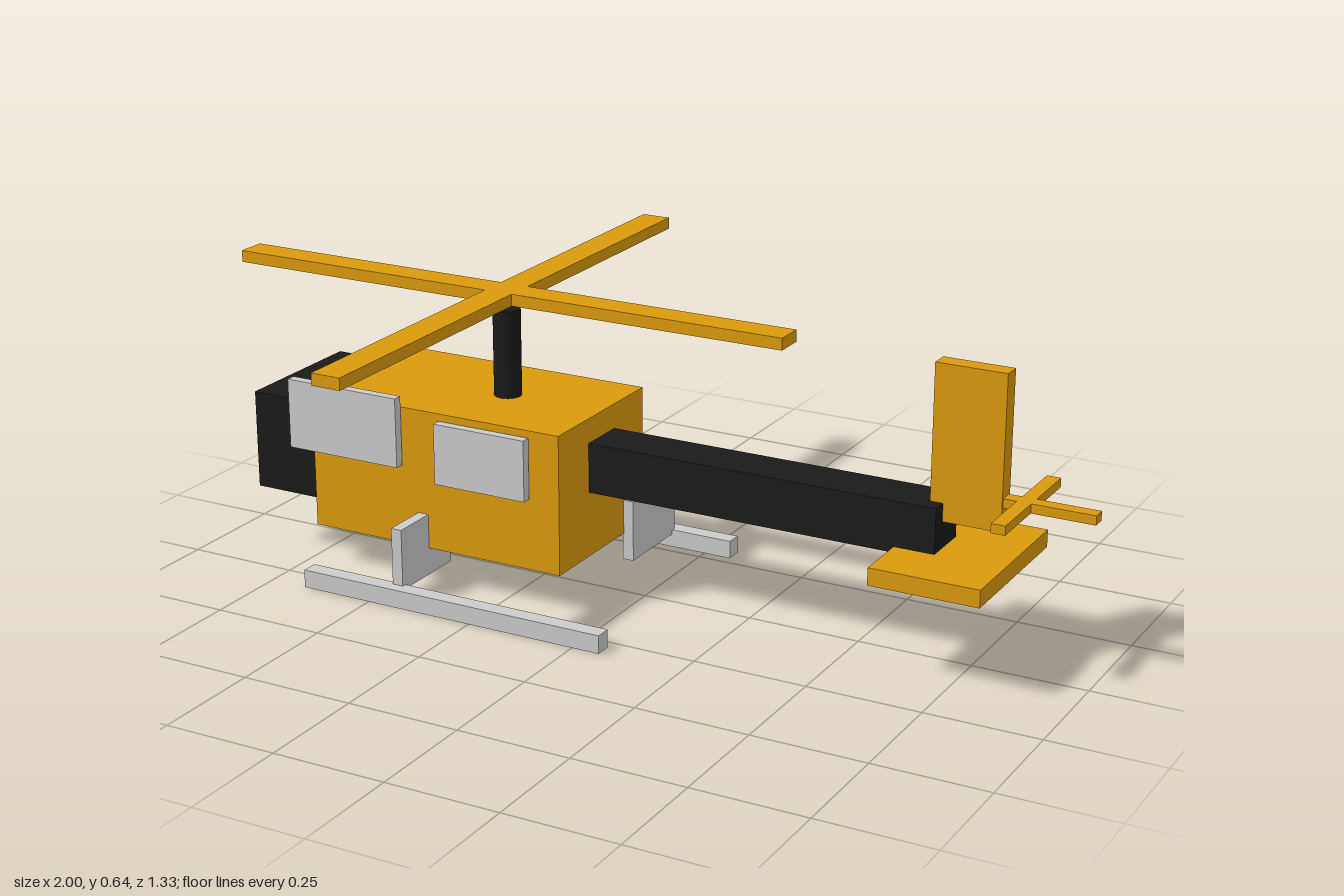
import * as THREE from 'three';

const orange = new THREE.MeshStandardMaterial({ color: 0xdb9a0c });
const black = new THREE.MeshStandardMaterial({ color: 0x1a1a1a });
const grey = new THREE.MeshStandardMaterial({ color: 0xcccccc });

export function createModel() {
  const model = new THREE.Group();
  model.name = 'helicopter';

  // Box given by its extents along each axis
  function box(name, material, [x0, x1], [y0, y1], [z0, z1], parent = model) {
    const mesh = new THREE.Mesh(new THREE.BoxGeometry(x1 - x0, y1 - y0, z1 - z0), material);
    mesh.position.set((x0 + x1) / 2, (y0 + y1) / 2, (z0 + z1) / 2);
    mesh.name = name;
    parent.add(mesh);
    return mesh;
  }

  // Two crossed flat blades about a centre
  function rotor(name, x, y, length, width, thickness) {
    const group = new THREE.Group();
    group.name = name;
    group.position.set(x, y, 0);
    const l = length / 2, w = width / 2, t = thickness / 2;
    box('bladeAlong', orange, [-l, l], [-t, t], [-w, w], group);
    box('bladeAcross', orange, [-w, w], [-t, t], [-l, l], group);
    model.add(group);
  }

  // Fuselage
  box('body', orange, [-0.72, -0.105], [0.09, 0.4], [-0.18, 0.18]);
  box('cockpit', black, [-0.885, -0.62], [0.145, 0.365], [-0.163, 0.163]);
  box('frontWindow', grey, [-0.765, -0.49], [0.27, 0.425], [0.183, 0.204]);
  box('rearWindow', grey, [-0.395, -0.175], [0.25, 0.385], [0.183, 0.204]);

  // Mast and main rotor
  const mast = new THREE.Mesh(new THREE.CylinderGeometry(0.03, 0.03, 0.213, 32), black);
  mast.name = 'mast';
  mast.position.set(-0.335, 0.4865, 0);
  model.add(mast);
  rotor('mainRotor', -0.335, 0.624, 1.33, 0.066, 0.026);

  // Tail
  box('tailBoom', black, [-0.11, 0.683], [0.235, 0.345], [-0.055, 0.055]);
  box('tailPlane', orange, [0.595, 0.832], [0.21, 0.248], [-0.18, 0.18]);
  box('tailFin', orange, [0.655, 0.807], [0.306, 0.635], [-0.02, 0.02]);
  rotor('tailRotor', 0.85, 0.366, 0.298, 0.03, 0.02);

  // Landing skids, each on one strut
  for (const [side, strutX] of [[1, -0.442], [-1, -0.094]]) {
    const label = side > 0 ? 'left' : 'right';
    const skid = box(label + 'Skid', grey, [-0.665, 0.063], [0, 0.04], [-0.0185, 0.0185]);
    skid.position.z = side * 0.293;
    const strut = box(label + 'Strut', grey, [strutX - 0.0125, strutX + 0.0125], [0.03, 0.167], [-0.095, 0.095]);
    strut.position.z = side * 0.19;
  }

  return model;
}
